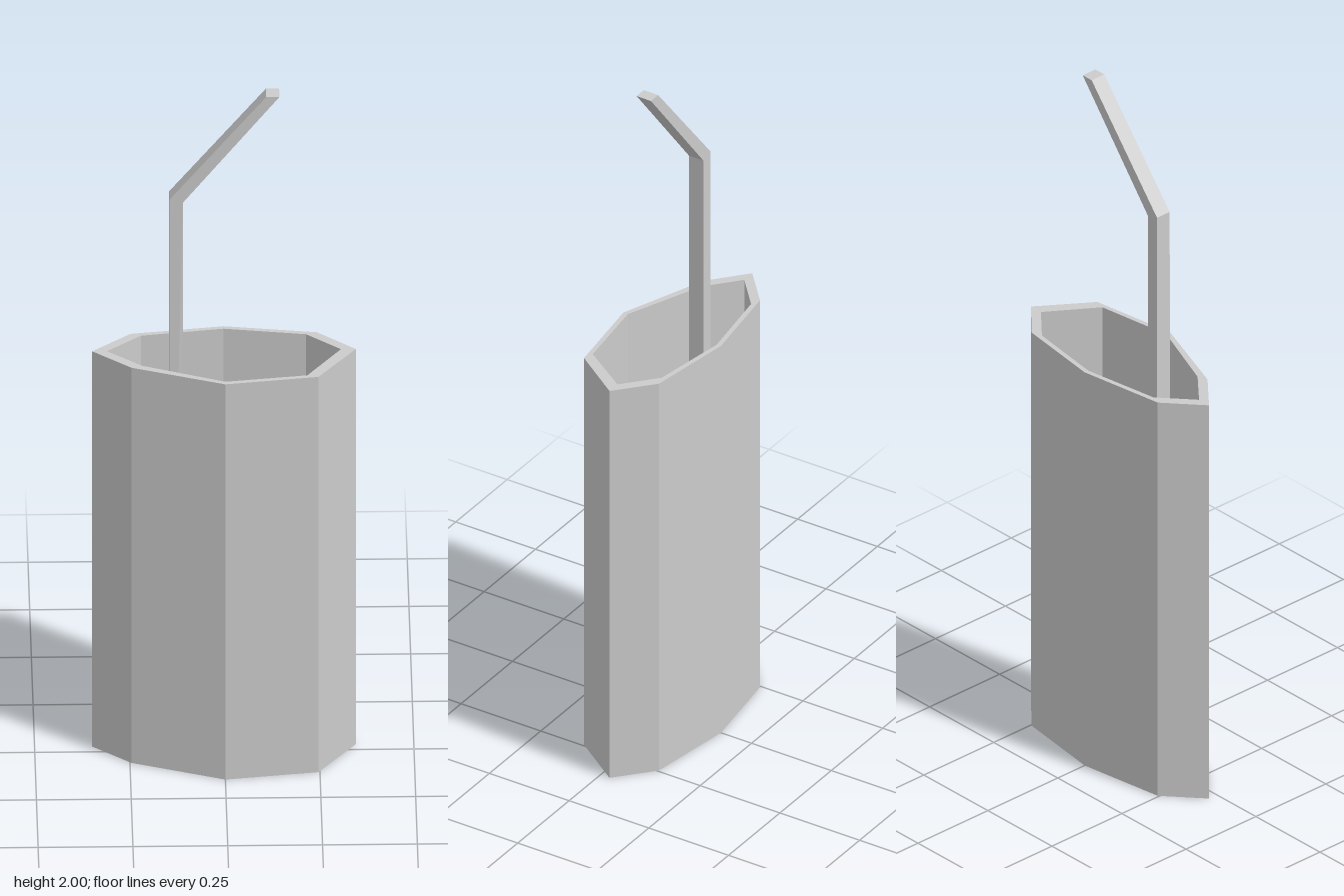
import * as THREE from 'three';

const material = new THREE.MeshStandardMaterial({ color: 0xcccccc, flatShading: true });

// Joins rings of [x, y, z] corners (counter-clockwise from above) and caps both ends.
function loft(name, rings) {
  const positions = [];
  const tri = (a, b, c) => positions.push(...a, ...b, ...c);
  const n = rings[0].length;
  for (let r = 0; r < rings.length - 1; r++) {
    const a = rings[r], b = rings[r + 1];
    for (let i = 0; i < n; i++) {
      const j = (i + 1) % n;
      tri(a[i], a[j], b[j]);
      tri(a[i], b[j], b[i]);
    }
  }
  const first = rings[0], last = rings[rings.length - 1];
  for (let i = 1; i < n - 1; i++) {
    tri(first[0], first[i + 1], first[i]);
    tri(last[0], last[i], last[i + 1]);
  }
  const geometry = new THREE.BufferGeometry();
  geometry.setAttribute('position', new THREE.Float32BufferAttribute(positions, 3));
  geometry.computeVertexNormals();
  const mesh = new THREE.Mesh(geometry, material);
  mesh.name = name;
  return mesh;
}

const ring = (outline, y) => outline.map(([x, z]) => [x, y, z]);

export function createModel() {
  const group = new THREE.Group();
  group.name = 'cupWithStraw';

  // Irregular eight-sided cup: outer wall, rim, inner wall and floor
  const outer = [
    [-0.348, -0.028], [-0.246, 0.06], [0, 0.152], [0.246, 0.117],
    [0.347, -0.028], [0.246, -0.118], [0, -0.154], [-0.246, -0.118],
  ];
  const inner = [
    [-0.309, -0.028], [-0.218, 0.05], [0, 0.138], [0.217, 0.108],
    [0.308, -0.028], [0.217, -0.108], [0, -0.141], [-0.218, -0.108],
  ];
  const floorY = 0.04, rimY = 1.204;
  group.add(loft('cup', [ring(outer, 0), ring(outer, rimY), ring(inner, rimY), ring(inner, floorY)]));

  // Bent square straw, standing on the cup floor
  const strawRing = (x, yLeft, yRight, y0Front = 0.017) => [
    [x, yLeft, y0Front], [x + 0.035, yRight, 0.017],
    [x + 0.035, yRight, -0.028], [x, yLeft, -0.028],
  ];
  group.add(loft('straw', [
    strawRing(-0.145, floorY, floorY, 0.023),
    strawRing(-0.145, 1.69, 1.68),
    strawRing(0.11, 2, 2),
  ]));

  return group;
}
